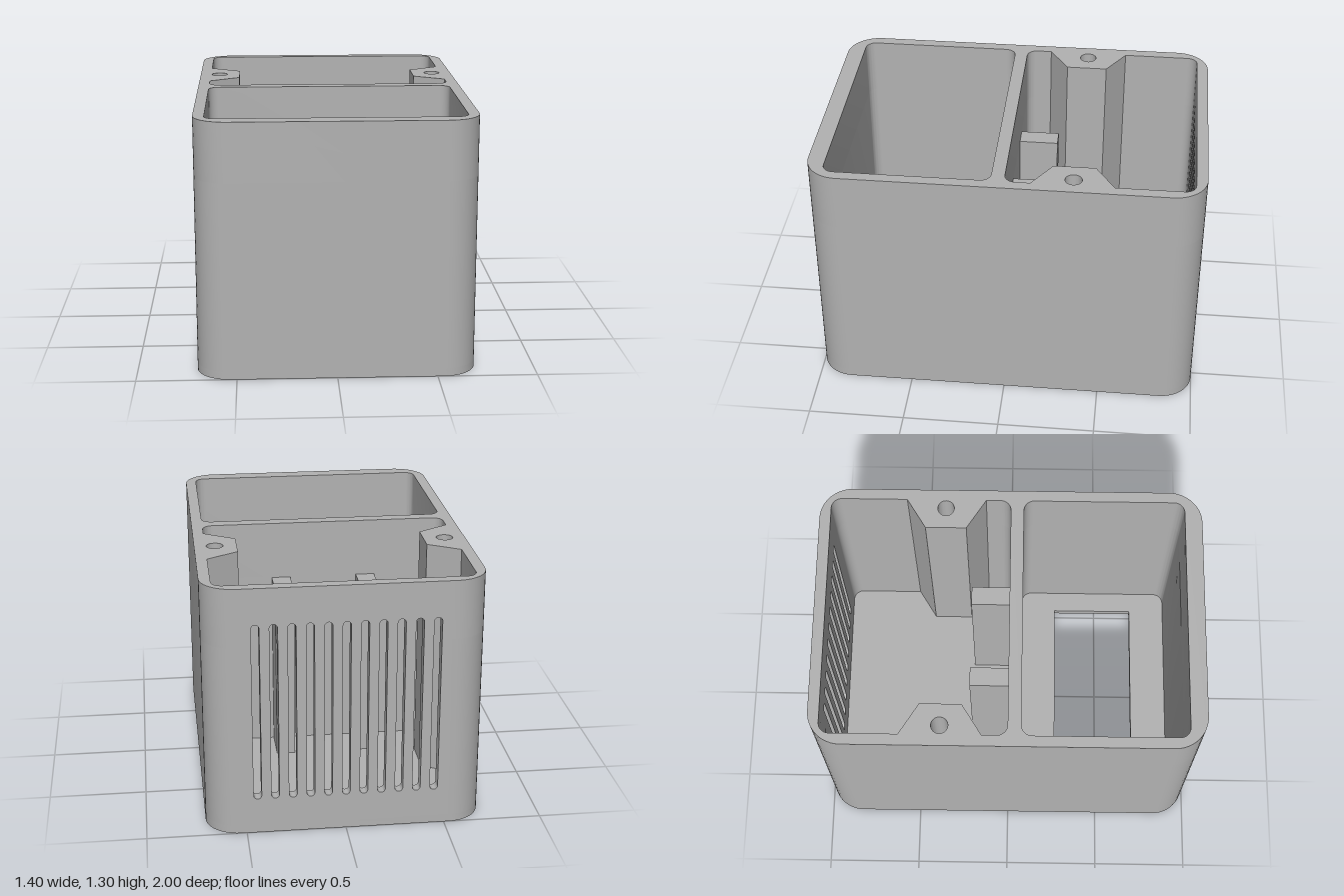
import * as THREE from 'three';
import { toCreasedNormals } from 'three/addons/utils/BufferGeometryUtils.js';

const HEIGHT = 1.3, FLOOR = 0.04, SCREW_BOTTOM = 1.0;
const CAVITY_X = 0.643, BACK_IN = 0.942, GAP = 0.5; // GAP: half width of the vented panel

// Corners [x, y, radius] to points; right-angled corners with a radius become arcs.
function rounded(corners, steps = 12) {
  const points = [];
  corners.forEach(([x, y, r = 0], i) => {
    const p = new THREE.Vector2(x, y);
    if (!r) { points.push(p); return; }
    const n = corners.length;
    const toward = (c) => new THREE.Vector2(c[0], c[1]).sub(p).normalize();
    const u = toward(corners[(i + n - 1) % n]), v = toward(corners[(i + 1) % n]);
    const centre = p.clone().addScaledVector(u, r).addScaledVector(v, r);
    for (let k = 0; k <= steps; k++) {
      const t = (k / steps) * Math.PI / 2;
      points.push(centre.clone().addScaledVector(v, -r * Math.cos(t)).addScaledVector(u, -r * Math.sin(t)));
    }
  });
  return points;
}

const rect = (x0, y0, x1, y1, r = 0) => rounded([[x0, y0, r], [x1, y0, r], [x1, y1, r], [x0, y1, r]]);

function circle(x, y, r) {
  return new THREE.Path().absarc(x, y, r, 0, Math.PI * 2, true);
}

function extrude(points, holes, depth) {
  const shape = new THREE.Shape(points);
  shape.holes = holes.map((h) => (Array.isArray(h) ? new THREE.Path(h) : h));
  const geo = new THREE.ExtrudeGeometry(shape, { depth, bevelEnabled: false, curveSegments: 24 });
  return toCreasedNormals(geo, 0.5);
}

// Plan shapes use y = -z, and are raised upright from y0 to y1.
const raise = (points, holes, y0, y1) =>
  extrude(points, holes, y1 - y0).rotateX(-Math.PI / 2).translate(0, y0, 0);

export function createModel() {
  const model = new THREE.Group();
  const grey = new THREE.MeshStandardMaterial({ color: 0xb2b2b2 });
  grey.name = 'grey plastic';
  const add = (name, geo) => {
    const mesh = new THREE.Mesh(geo, grey);
    mesh.name = name;
    model.add(mesh);
    return mesh;
  };

  // Floor with the rectangular opening under the front compartment
  add('floor', raise(rect(-0.7, -1, 0.7, 1, 0.17), [rect(-0.53, -0.71, 0.53, -0.265)], 0, FLOOR));

  // Walls, divider and screw lugs in one plan, left open for the vented panel
  const lug = [[CAVITY_X, 0.545], [0.483, 0.445], [0.483, 0.232], [CAVITY_X, 0.13]];
  const plan = rounded([
    [-GAP, 1], [-0.7, 1, 0.17], [-0.7, -1, 0.17], [0.7, -1, 0.17], [0.7, 1, 0.17], [GAP, 1],
    [GAP, BACK_IN], [CAVITY_X, BACK_IN, 0.055], ...lug, [CAVITY_X, 0, 0.055],
    [-CAVITY_X, 0, 0.055], ...lug.map(([x, y]) => [-x, y]).reverse(),
    [-CAVITY_X, BACK_IN, 0.055], [-GAP, BACK_IN],
  ]);
  const frontCavity = rect(-CAVITY_X, -0.91, CAVITY_X, -0.068, 0.055);
  const screwHoles = [-1, 1].map((s) => circle(s * 0.595, 0.34, 0.043));
  add('lowerWalls', raise(plan, [frontCavity], FLOOR, SCREW_BOTTOM));
  add('upperWalls', raise(plan, [frontCavity, ...screwHoles], SCREW_BOTTOM, HEIGHT));

  // Back panel with eleven round-ended vent slots
  const slots = [];
  for (let i = -5; i <= 5; i++) {
    const x = i * 0.0887;
    slots.push(rect(x - 0.02, 0.187, x + 0.02, 1.115, 0.0199));
  }
  add('ventPanel', extrude(rect(-GAP, FLOOR, GAP, HEIGHT), slots, 1 - BACK_IN).translate(0, 0, -1));

  // Two mounting posts on the divider, each with a screw hole facing the back
  for (const [name, x] of [['leftPost', 0.227], ['rightPost', -0.23]]) {
    const post = extrude(rect(x - 0.05, FLOOR, x + 0.05, 0.995), [circle(x, 0.925, 0.023)], 0.205);
    add(name, post.translate(0, 0, -0.205));
  }
  return model;
}
